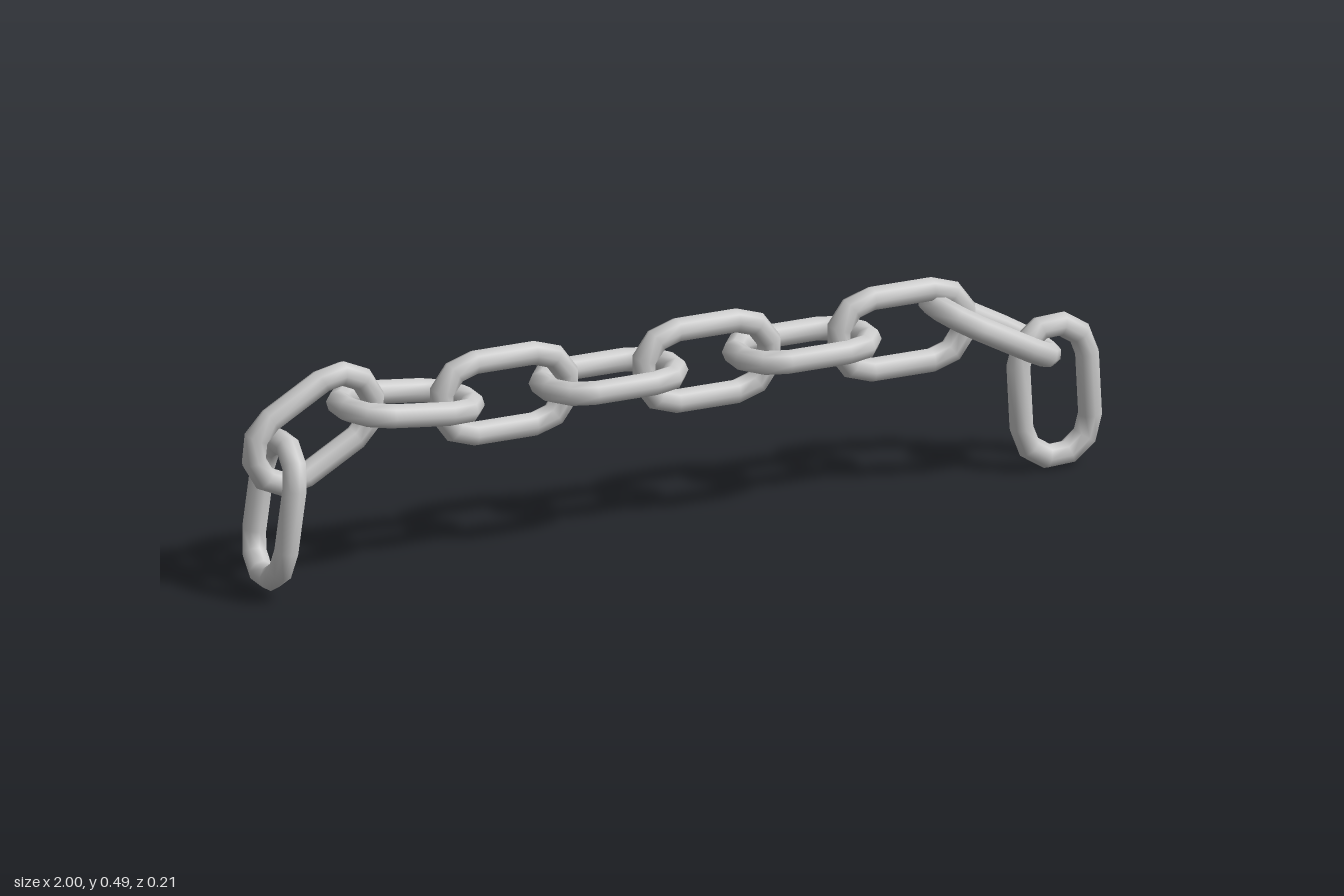
import * as THREE from 'three';

const BEND = 0.08;      // centre-line radius of a link's rounded ends
const WIRE = 0.027;     // wire radius
const HALF = 0.069;     // half length of the straight sides
const STEPS = 5;        // segments per rounded end
const SIDES = 8;        // sides of the wire

// One closed link lying in the xy plane, long axis along x
function linkGeometry() {
  const positions = [], index = [];
  const rings = 2 * (STEPS + 1);
  for (let i = 0; i < rings; i++) {
    const end = i <= STEPS ? 0 : 1;
    const a = -Math.PI / 2 + end * Math.PI + (Math.PI * (i - end * (STEPS + 1))) / STEPS;
    const shift = end ? -HALF : HALF;
    for (let j = 0; j < SIDES; j++) {
      const b = (2 * Math.PI * j) / SIDES;
      const r = BEND + WIRE * Math.cos(b);
      positions.push(shift + r * Math.cos(a), r * Math.sin(a), WIRE * Math.sin(b));
      const i2 = (i + 1) % rings, j2 = (j + 1) % SIDES;
      const p = i * SIDES + j, q = i2 * SIDES + j;
      const s = i2 * SIDES + j2, t = i * SIDES + j2;
      index.push(p, q, s, p, s, t);
    }
  }
  const geometry = new THREE.BufferGeometry();
  geometry.setAttribute('position', new THREE.Float32BufferAttribute(positions, 3));
  geometry.setIndex(index);
  geometry.computeVertexNormals();
  return geometry;
}

export function createModel() {
  const chain = new THREE.Group();
  chain.name = 'chain';
  const geometry = linkGeometry();
  const material = new THREE.MeshStandardMaterial({ color: 0xcccccc });

  // Links from right to left end: x, y, slope in degrees; every other one lies flat
  const links = [
    [-0.928, 0.187, 82],
    [-0.838, 0.354, 30],
    [-0.623, 0.378, -6.5],
    [-0.393, 0.365, 0],
    [-0.15, 0.365, 0],
    [0.078, 0.365, 0],
    [0.3, 0.365, 0],
    [0.532, 0.365, 0],
    [0.738, 0.337, -29],
    [0.888, 0.174, -87],
  ];
  links.forEach(([x, y, slope], i) => {
    const flat = i % 2 === 0 ? Math.PI / 2 : 0;
    const link = new THREE.Mesh(geometry, material);
    link.name = `${flat ? 'flat' : 'upright'}Link${i + 1}`;
    link.position.set(x, y, 0);
    link.rotation.set(flat, 0, THREE.MathUtils.degToRad(slope), 'ZYX');
    chain.add(link);
  });
  return chain;
}
